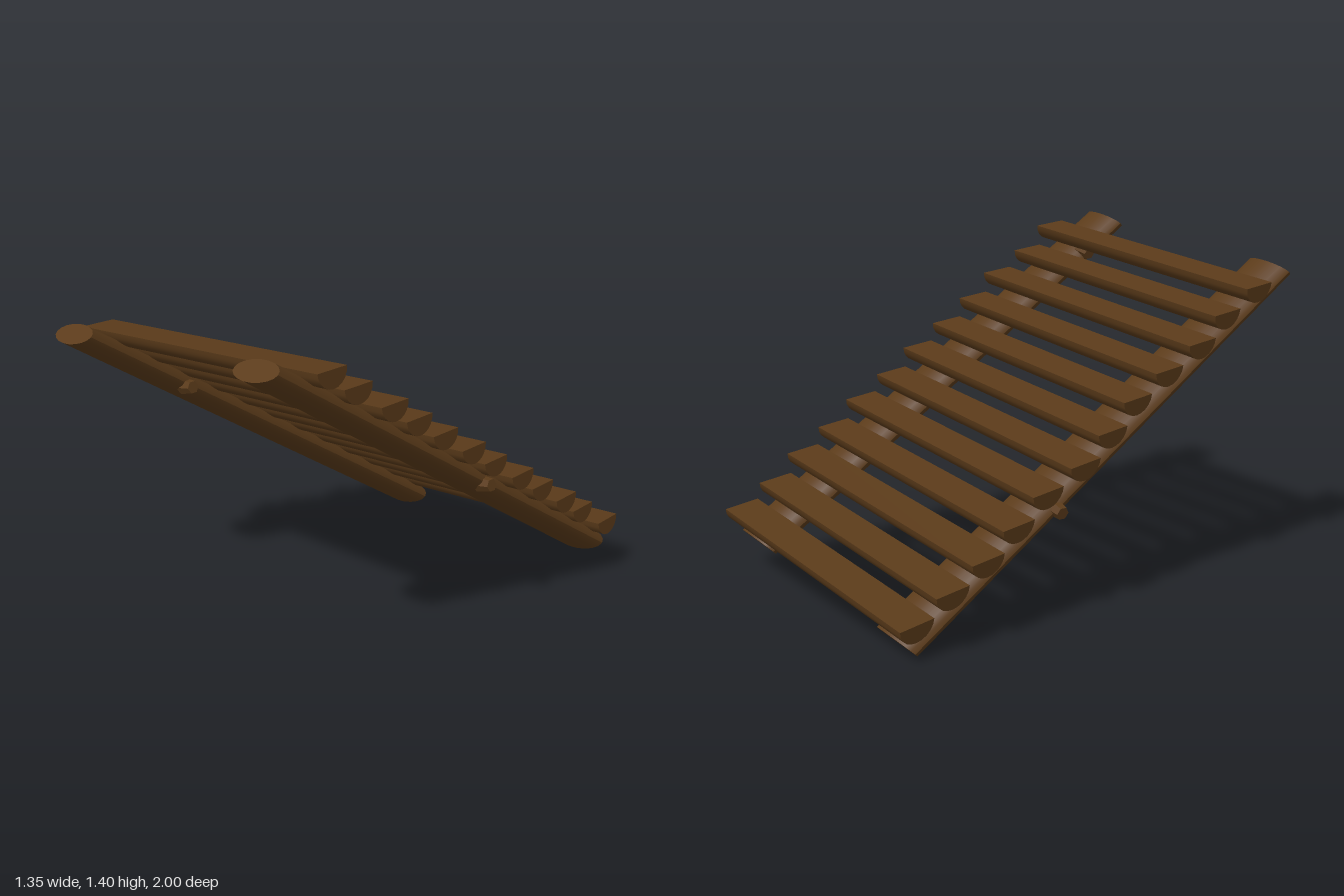
import * as THREE from 'three';
import { toCreasedNormals } from 'three/addons/utils/BufferGeometryUtils.js';

const V = (x, y, z) => new THREE.Vector3(x, y, z);
const wood = new THREE.MeshStandardMaterial({ color: 0x5b3b1a });

// Closed solid through equal-sized rings of points, with fan caps at both ends
function loft(rings) {
  const n = rings[0].length;
  const points = rings.flat();
  const index = [];
  for (let r = 0; r < rings.length - 1; r++) {
    for (let j = 0; j < n; j++) {
      const a = r * n + j, b = r * n + (j + 1) % n;
      index.push(a, b, b + n, a, b + n, a + n);
    }
  }
  [0, rings.length - 1].forEach((r, end) => {
    const centre = points.length;
    points.push(rings[r].reduce((s, p) => s.add(p), V(0, 0, 0)).divideScalar(n));
    for (let j = 0; j < n; j++) {
      const a = r * n + j, b = r * n + (j + 1) % n;
      index.push(centre, end ? a : b, end ? b : a);
    }
  });
  const geo = new THREE.BufferGeometry().setFromPoints(points);
  geo.setIndex(index);
  return toCreasedNormals(geo, 0.7);
}

// Points of an arc spanned by two half axes
function arc(centre, u, v, sweep, count) {
  return Array.from({ length: count }, (_, i) => {
    const t = sweep * i;
    return centre.clone().addScaledVector(u, Math.cos(t)).addScaledVector(v, Math.sin(t));
  });
}

function addMesh(parent, name, geo) {
  const mesh = new THREE.Mesh(geo, wood);
  mesh.name = name;
  parent.add(mesh);
  return mesh;
}

// Sloping side log: flattened round section, slightly thicker at the foot
function log(bottom, top) {
  const rings = [];
  for (let i = 0; i <= 4; i++) {
    const t = i / 4, k = 1.1 - 0.1 * t;
    rings.push(arc(bottom.clone().lerp(top, t),
      V(0.105 * k, 0.0115 * k, -0.009 * k), V(0, 0.037 - 0.007 * t, -0.039), Math.PI / 9, 18));
  }
  return loft(rings);
}

// Half-log tread: flat on top, rounded below, with skewed ends
function tread(i, left, right) {
  const end = (x) => arc(
    V(x, 1.29 + 0.105 * x - 0.0975 * i, 0.704 - 0.0785 * x - 0.1435 * i),
    V(0.014, 0.006, 0.078), V(0.007, -0.068, 0), Math.PI / 10, 11);
  return loft([end(left), end(right)]);
}

export function createModel() {
  const model = new THREE.Group();
  model.name = 'logStairs';

  // Side logs
  addMesh(model, 'rightLog', log(V(-0.503, 0.043, -0.83), V(-0.475, 1.265, 0.96)));
  addMesh(model, 'leftLog', log(V(0.507, 0.152, -0.91), V(0.53, 1.375, 0.878)));

  // Treads, from the top down, each with its own end positions
  const treads = new THREE.Group();
  treads.name = 'treads';
  model.add(treads);
  const ends = [
    [-0.638, 0.655], [-0.62, 0.63], [-0.64, 0.66], [-0.62, 0.64],
    [-0.61, 0.635], [-0.64, 0.645], [-0.662, 0.63], [-0.63, 0.645],
    [-0.647, 0.63], [-0.662, 0.638], [-0.652, 0.615], [-0.643, 0.638],
  ];
  ends.forEach(([l, r], i) => addMesh(treads, 'tread', tread(i, l, r)));

  // Cut branch stubs on the logs: position and side they point to
  const stubs = new THREE.Group();
  stubs.name = 'branchStubs';
  model.add(stubs);
  [
    [-0.375, 0.97, 0.52, 1], [-0.6, 0.455, -0.19, -1],
    [0.43, 1.25, 0.69, -1], [0.625, 0.68, -0.155, 1],
  ].forEach(([x, y, z, side]) => {
    const stub = addMesh(stubs, 'branchStub',
      toCreasedNormals(new THREE.CylinderGeometry(0.026, 0.034, 0.07, 6), 0.5));
    stub.position.set(x, y, z);
    stub.rotation.z = -side * Math.PI / 2 + 0.2;
  });

  return model;
}
